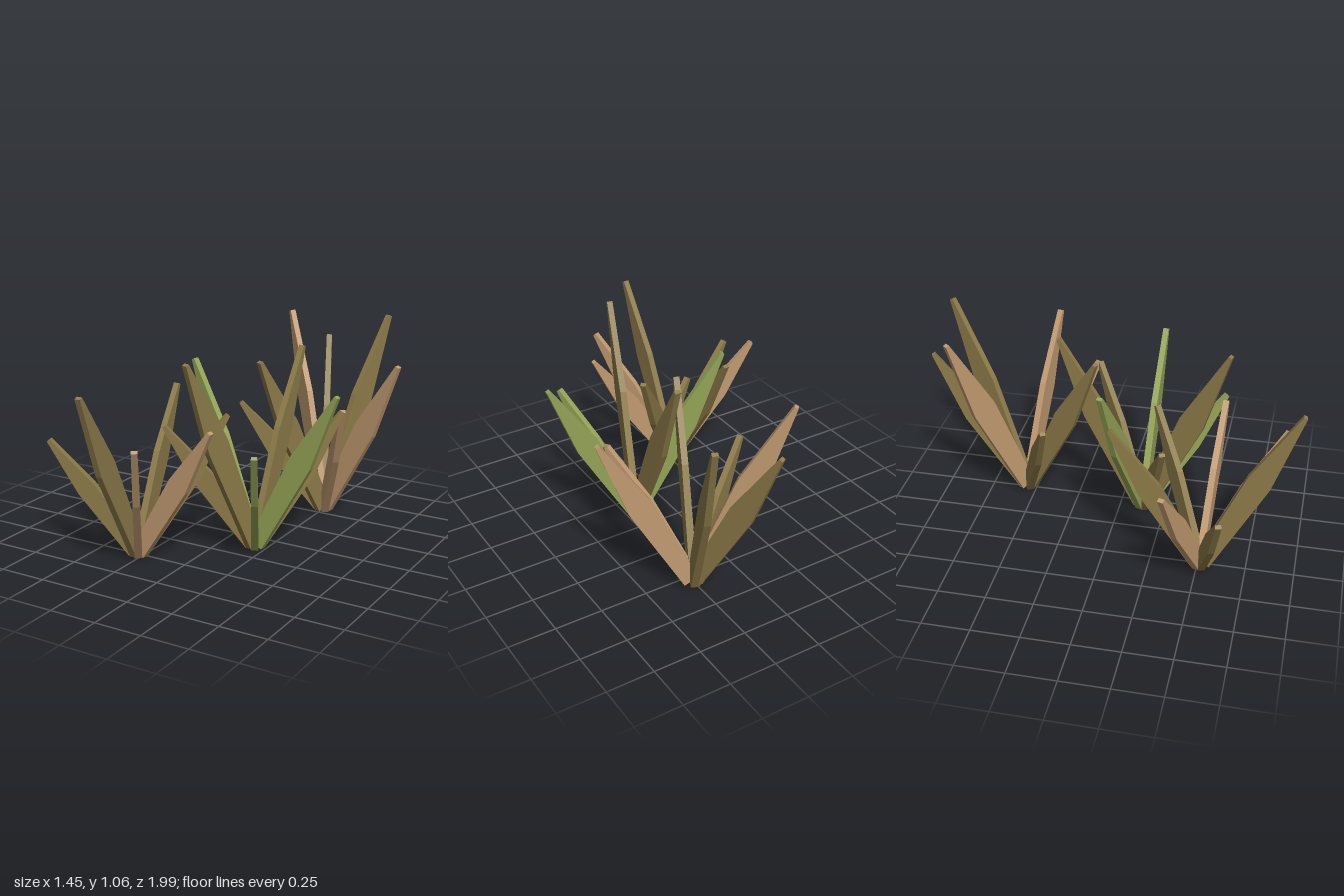
import * as THREE from 'three';

const COLORS = { tan: 0xc09a70, olive: 0x8c7a48, green: 0x93a355 };

// Each tuft: centre on the ground, then blades as [tip x, tip z, height, colour]
const TUFTS = [
  { name: 'frontTuft', x: -0.27, z: 0.515, blades: [
    [-0.72, 0.37, 0.70, 'tan'], [-0.72, 0.645, 0.59, 'olive'], [-0.25, 0.99, 0.95, 'olive'],
    [0, 0.91, 0.71, 'tan'], [0.2, 0.56, 0.74, 'tan'], [0.09, 0.21, 0.73, 'olive'],
    [-0.325, 0.04, 0.80, 'olive'] ] },
  { name: 'middleTuft', x: 0.195, z: 0.127, blades: [
    [-0.26, -0.02, 0.93, 'green'], [-0.25, 0.30, 0.64, 'olive'], [0.07, 0.59, 1.06, 'olive'],
    [0.42, 0.545, 0.645, 'green'], [0.665, 0.16, 0.885, 'green'], [0.53, -0.19, 0.71, 'olive'],
    [0.215, -0.345, 0.99, 'olive'] ] },
  { name: 'backTuft', x: 0.257, z: -0.55, blades: [
    [-0.115, -0.845, 1.06, 'tan'], [0.06, -0.985, 0.91, 'olive'], [0.43, -0.99, 1.06, 'olive'],
    [-0.165, -0.335, 0.63, 'olive'], [0.08, -0.105, 0.93, 'olive'], [0.53, -0.185, 0.71, 'tan'],
    [0.72, -0.45, 0.91, 'tan'] ] },
];

// Flat leaf standing on edge in the x-y plane, leaning toward +x
function bladeGeometry(reach, height) {
  const base = new THREE.Vector2(0.012, 0.026);
  const axis = new THREE.Vector2(reach - 0.008, height - 0.006).sub(base);
  const length = axis.length();
  const out = new THREE.Vector2(axis.y, -axis.x).divideScalar(length);
  // [position along the leaf, half width]
  const sections = [[0, 0.042], [0.57, 0.023 + 0.04 * length], [1, 0.01]];
  const at = (t, w) => base.clone().addScaledVector(axis, t).addScaledVector(out, w);
  const outer = sections.map(([t, w]) => at(t, w));
  const inner = sections.map(([t, w]) => at(t, -w)).reverse();
  const geo = new THREE.ExtrudeGeometry(new THREE.Shape([...outer, ...inner]),
    { depth: 1, bevelEnabled: false });
  // Thickness narrows slightly toward the tip
  const p = geo.attributes.position;
  for (let i = 0; i < p.count; i++) {
    const thick = THREE.MathUtils.lerp(0.039, 0.03, p.getY(i) / height);
    p.setZ(i, (p.getZ(i) - 0.5) * thick);
  }
  geo.computeVertexNormals();
  return geo;
}

export function createModel() {
  const model = new THREE.Group();
  model.name = 'grassTufts';
  const materials = {};
  for (const key in COLORS) {
    materials[key] = new THREE.MeshStandardMaterial({ color: COLORS[key], flatShading: true });
  }
  for (const { name, x, z, blades } of TUFTS) {
    const tuft = new THREE.Group();
    tuft.name = name;
    tuft.position.set(x, 0, z);
    for (const [tipX, tipZ, height, color] of blades) {
      const dx = tipX - x, dz = tipZ - z;
      const blade = new THREE.Mesh(bladeGeometry(Math.hypot(dx, dz), height), materials[color]);
      blade.name = color + 'Blade';
      blade.rotation.y = Math.atan2(-dz, dx);
      tuft.add(blade);
    }
    model.add(tuft);
  }
  return model;
}
